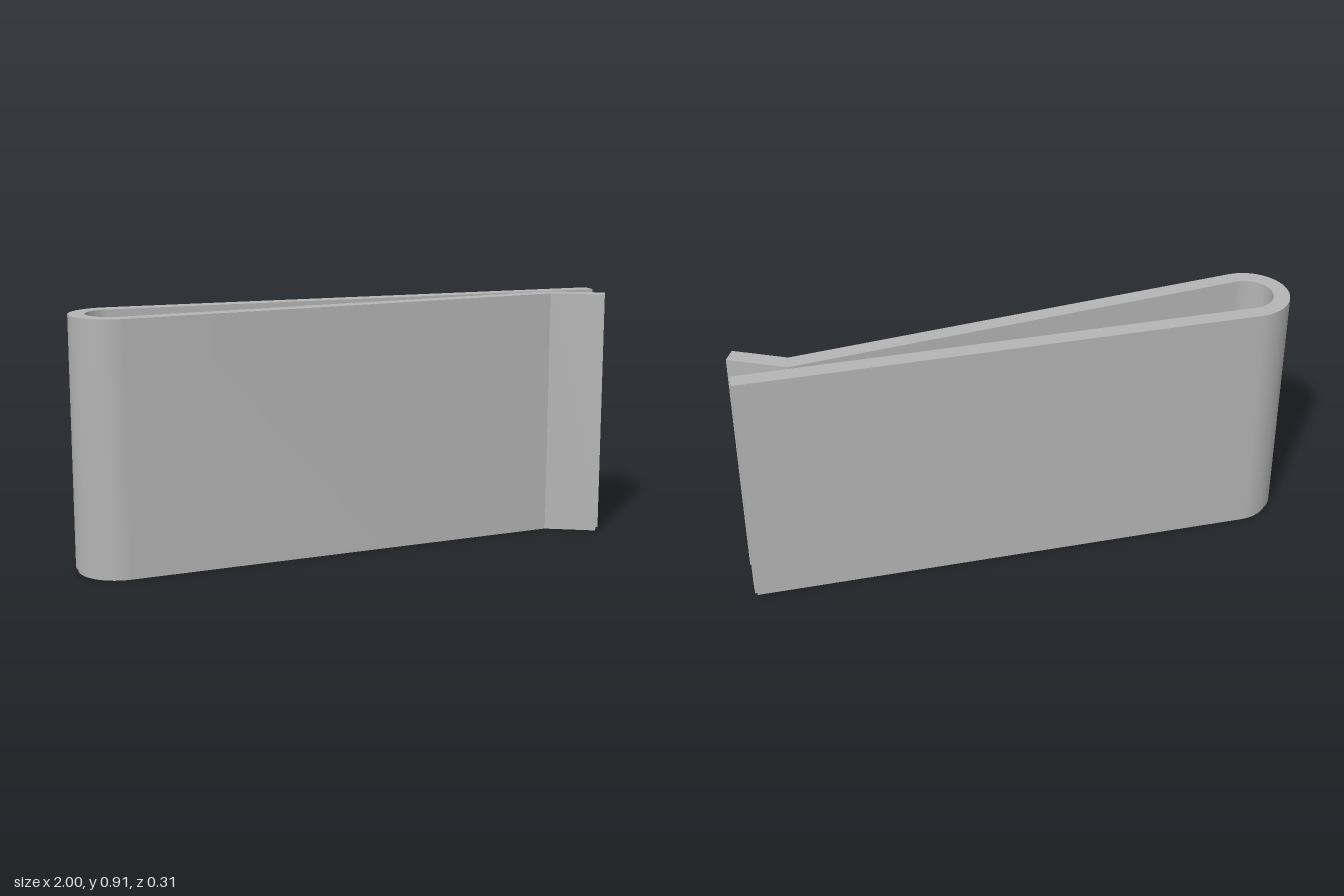
import * as THREE from 'three';
import { toCreasedNormals } from 'three/addons/utils/BufferGeometryUtils.js';

const HEIGHT = 0.908, STEP = 0.016, INSET = 0.008, HALF = 0.029;
const BEND = { x: -0.848, z: 0, r: 0.1235 };
const SLOPE = 0.108; // lean of the front leaf towards the back leaf

// Centre line of the bent strip seen from above, as (x, -z)
function centreLine(trim) {
  const pts = [new THREE.Vector2(1 - trim, BEND.r)];
  const start = -Math.PI / 2, end = -Math.PI * 1.5 - SLOPE, n = 32;
  for (let i = 0; i <= n; i++) {
    const a = start + (end - start) * i / n;
    pts.push(new THREE.Vector2(BEND.x + BEND.r * Math.cos(a), -(BEND.z + BEND.r * Math.sin(a))));
  }
  const knee = new THREE.Vector2(0.8, 0.054);
  const tip = new THREE.Vector2(0.987, -0.037);
  const dir = tip.clone().sub(knee).normalize();
  pts.push(knee, tip.addScaledVector(dir, -trim));
  return pts;
}

// Mitred outline of constant thickness around the centre line
function stripShape(half, trim) {
  const line = centreLine(trim), left = [], right = [];
  line.forEach((p, i) => {
    const a = line[Math.max(i - 1, 0)], b = line[Math.min(i + 1, line.length - 1)];
    const d1 = (i > 0 ? p.clone().sub(a) : b.clone().sub(p)).normalize();
    const d2 = (i < line.length - 1 ? b.clone().sub(p) : d1.clone()).normalize();
    const n1 = new THREE.Vector2(-d1.y, d1.x), n2 = new THREE.Vector2(-d2.y, d2.x);
    const m = n1.clone().add(n2).normalize();
    const k = half / m.dot(n1);
    left.push(p.clone().addScaledVector(m, k));
    right.push(p.clone().addScaledVector(m, -k));
  });
  return new THREE.Shape([...left, ...right.reverse()]);
}

function strip(name, half, trim, y0, y1, material) {
  const geo = new THREE.ExtrudeGeometry(stripShape(half, trim), { depth: y1 - y0, bevelEnabled: false });
  geo.rotateX(-Math.PI / 2);
  geo.translate(0, y0, 0);
  const mesh = new THREE.Mesh(toCreasedNormals(geo, 0.4), material);
  mesh.name = name;
  return mesh;
}

export function createModel() {
  const group = new THREE.Group();
  group.name = 'springClip';
  const grey = new THREE.MeshStandardMaterial({ color: 0xb4b4b4 });
  grey.name = 'grey';
  // Main bent strip and the slightly inset foot beneath it
  group.add(strip('clipBody', HALF, 0, STEP, HEIGHT, grey));
  group.add(strip('insetFoot', HALF - INSET, INSET, 0, STEP, grey));
  return group;
}
